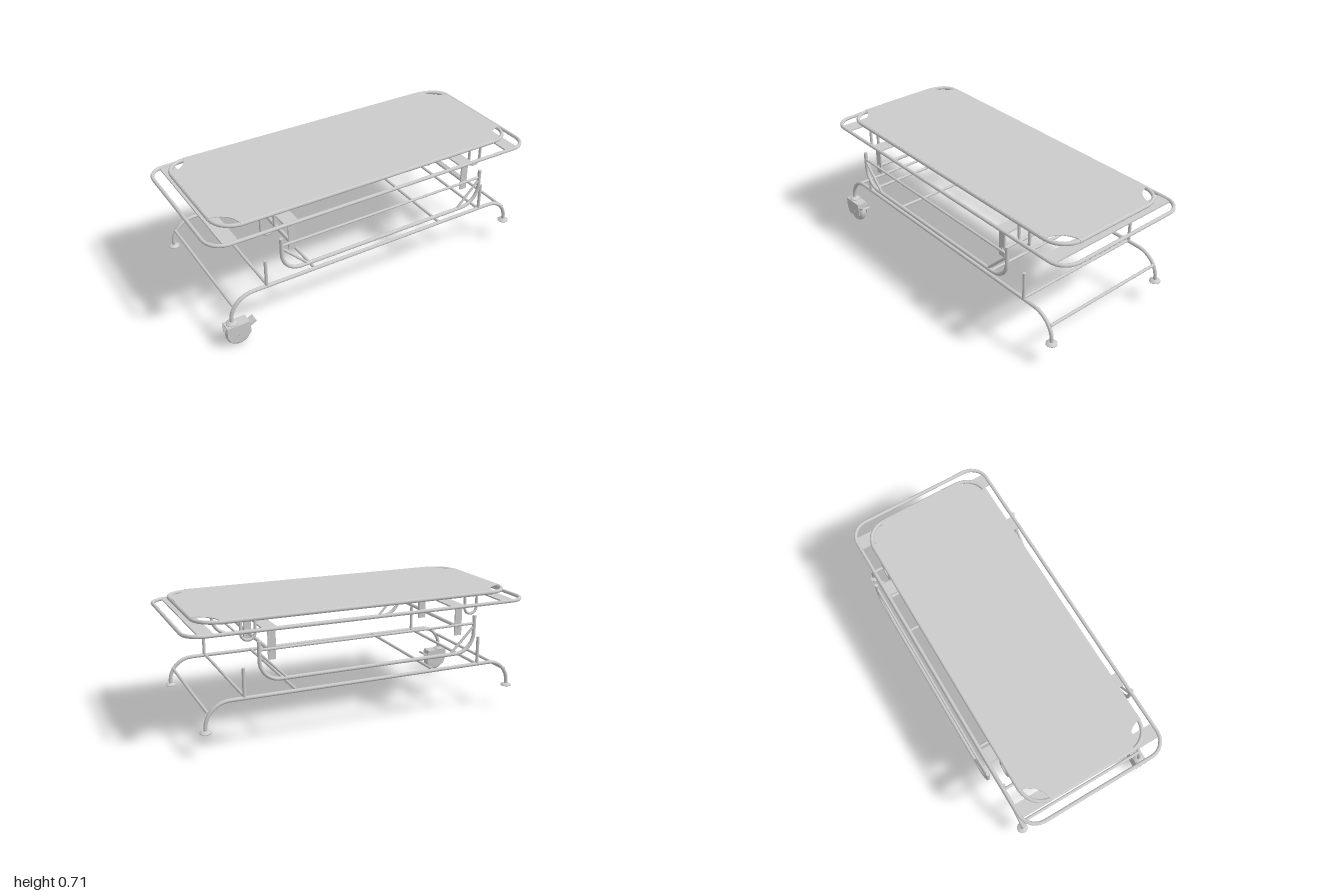
import * as THREE from 'three';

const grey = new THREE.MeshStandardMaterial({ color: 0xcccccc, side: THREE.DoubleSide });
const V = (x, y, z) => new THREE.Vector3(x, y, z);

function add(parent, name, geometry, x = 0, y = 0, z = 0) {
  const mesh = new THREE.Mesh(geometry, grey);
  mesh.name = name;
  mesh.position.set(x, y, z);
  parent.add(mesh);
  return mesh;
}

function box(parent, name, w, h, d, x, y, z) {
  return add(parent, name, new THREE.BoxGeometry(w, h, d), x, y, z);
}

// Straight round bar between two points
function bar(parent, name, a, b, r) {
  const mesh = add(parent, name, new THREE.CylinderGeometry(r, r, a.distanceTo(b), 14));
  mesh.position.copy(a).add(b).multiplyScalar(0.5);
  mesh.quaternion.setFromUnitVectors(V(0, 1, 0), b.clone().sub(a).normalize());
  return mesh;
}

// Bent tube: straight runs joined by near-circular bends of the given radius
function bentTube(parent, name, pts, bend, r, closed = false, segments = 160) {
  const path = new THREE.CurvePath();
  const n = pts.length;
  const toward = (a, b, d) => a.clone().add(b.clone().sub(a).setLength(d));
  let first = null, last = null;
  for (let i = 0; i < n; i++) {
    const p = pts[i];
    if (!closed && (i === 0 || i === n - 1)) {
      if (last) path.add(new THREE.LineCurve3(last, p));
      last = p;
      continue;
    }
    const prev = pts[(i + n - 1) % n], next = pts[(i + 1) % n];
    const a = toward(p, prev, bend), b = toward(p, next, bend);
    if (last && last.distanceTo(a) > 1e-4) path.add(new THREE.LineCurve3(last, a));
    path.add(new THREE.CubicBezierCurve3(a, toward(p, prev, bend * 0.448), toward(p, next, bend * 0.448), b));
    first = first || a;
    last = b;
  }
  if (closed) path.add(new THREE.LineCurve3(last, first));
  add(parent, name, new THREE.TubeGeometry(path, segments, r, 12, closed));
  if (!closed) {
    // End caps
    for (const t of [0, 1]) {
      const cap = add(parent, name + 'Cap', new THREE.CircleGeometry(r, 12));
      cap.position.copy(path.getPoint(t));
      cap.quaternion.setFromUnitVectors(V(0, 0, 1), path.getTangent(t).multiplyScalar(t ? 1 : -1));
    }
  }
}

const rectangle = (x, y, z) => [V(-x, y, -z), V(x, y, -z), V(x, y, z), V(-x, y, z)];

// Fabric bed on its own tube frame, with scooped corners
function buildBed() {
  const g = new THREE.Group();
  g.name = 'bed';
  bentTube(g, 'bedFrame', rectangle(0.914, 0.701, 0.361), 0.12, 0.0105, true, 240);
  const X = 0.916, Z = 0.363, cx = 0.8, cz = 0.25;
  const s = new THREE.Shape();
  s.moveTo(-cx, -Z);
  s.lineTo(cx, -Z);
  s.bezierCurveTo(cx + 0.01, -0.3, cx + 0.05, -cz - 0.01, X, -cz);
  s.lineTo(X, cz);
  s.bezierCurveTo(cx + 0.05, cz + 0.01, cx + 0.01, 0.3, cx, Z);
  s.lineTo(-cx, Z);
  s.bezierCurveTo(-cx - 0.01, 0.3, -cx - 0.05, cz + 0.01, -X, cz);
  s.lineTo(-X, -cz);
  s.bezierCurveTo(-cx - 0.05, -cz - 0.01, -cx - 0.01, -0.3, -cx, -Z);
  const sheet = new THREE.ExtrudeGeometry(s, { depth: 0.004, bevelEnabled: false, curveSegments: 12 });
  sheet.rotateX(-Math.PI / 2);
  add(g, 'fabricSheet', sheet, 0, 0.709, 0);
  for (const k of [-1, 1]) {
    bar(g, 'endSleeve', V(k * 0.914, 0.701, -cz), V(k * 0.914, 0.701, cz), 0.012);
    bar(g, 'sideSleeve', V(-cx, 0.701, k * 0.361), V(cx, 0.701, k * 0.361), 0.012);
    // Hanging loops under the bed frame
    for (const m of [-1, 1]) {
      const a = m * 0.617, b = m * 0.693, z = k * 0.363;
      bentTube(g, 'hangingLoop', [V(a, 0.7, z), V(a, 0.593, z), V(b, 0.593, z), V(b, 0.7, z)], 0.037, 0.008, false, 48);
    }
  }
  return g;
}

// Outer frame with flat cross plates and hanging brackets
function buildUpperFrame() {
  const g = new THREE.Group();
  g.name = 'upperFrame';
  bentTube(g, 'outerFrame', rectangle(0.99, 0.655, 0.425), 0.1, 0.01, true, 240);
  for (const k of [-1, 1]) {
    box(g, 'endPlate', 0.08, 0.008, 0.836, k * 0.88, 0.652, 0);
    box(g, 'innerPlate', 0.08, 0.008, 0.836, k * 0.55, 0.652, 0);
    for (const z of [-0.411, 0, 0.411]) {
      box(g, 'bracket', 0.042, 0.163, z ? 0.008 : 0.016, k * 0.547, 0.572, z);
    }
    bar(g, 'bracketRod', V(k * 0.553, 0.535, -0.42), V(k * 0.553, 0.535, 0.42), 0.01);
  }
  return g;
}

// Lowered side guard: U-shaped tube with a rail and corner braces
function buildSideGuard(z) {
  const g = new THREE.Group();
  g.name = 'sideGuard';
  const x = 0.627, y = 0.396;
  bentTube(g, 'guardTube', [V(-x, 0.605, z), V(-x, y, z), V(x, y, z), V(x, 0.605, z)], 0.11, 0.0105, false, 200);
  bar(g, 'guardRail', V(-x, 0.56, z), V(x, 0.56, z), 0.007);
  for (const k of [-1, 1]) {
    bar(g, 'guardBrace', V(k * x, 0.545, z), V(k * 0.48, y, z), 0.007);
  }
  return g;
}

// Base rails, legs, posts, cross rods and feet
function buildBase() {
  const g = new THREE.Group();
  g.name = 'base';
  const foot = [[0, 0.139], [0.031, 0.139], [0.031, 0.143], [0.017, 0.151], [0.01, 0.152]]
    .map(([r, y]) => new THREE.Vector2(r, y));
  for (const k of [-1, 1]) {
    const z = k * 0.394;
    bentTube(g, 'baseRail', [V(-0.905, 0.145, z), V(-0.905, 0.296, z), V(0.905, 0.296, z), V(0.905, 0.145, z)], 0.135, 0.0105, false, 240);
    for (const m of [-1, 1]) {
      bar(g, 'post', V(m * 0.695, 0.296, z), V(m * 0.695, 0.458, z), 0.009);
      add(g, 'foot', new THREE.LatheGeometry(foot, 24), m * 0.905, 0, z);
    }
    for (const [x, y] of [[0.41, 0.299], [0.69, 0.299], [0.888, 0.241]]) {
      bar(g, 'crossRod', V(k * x, y, -0.39), V(k * x, y, 0.39), 0.0085);
    }
  }
  return g;
}

// Swivel caster with forked housing and brake lever
function buildCaster() {
  const g = new THREE.Group();
  g.name = 'caster';
  g.position.set(-0.88, 0, 0.397);
  const side = new THREE.Shape([[-0.066, 0.138], [0.06, 0.138], [0.066, 0.12], [0.066, 0.065],
    [0.03, 0.05], [-0.03, 0.035], [-0.05, 0.04], [-0.066, 0.08]].map(([x, y]) => new THREE.Vector2(x, y)));
  const plate = new THREE.ExtrudeGeometry(side, { depth: 0.006, bevelEnabled: false });
  add(g, 'forkSide', plate, 0, 0, 0.026);
  add(g, 'forkSide', plate, 0, 0, -0.032);
  box(g, 'forkTop', 0.122, 0.006, 0.058, -0.004, 0.135, 0);
  box(g, 'forkBack', 0.006, 0.028, 0.058, 0.06, 0.122, 0);
  const lever = box(g, 'brakeLever', 0.06, 0.012, 0.05, 0.075, 0.11, 0);
  lever.rotation.z = 0.45;
  const tread = [[0.01, -0.022], [0.055, -0.022], [0.064, -0.018], [0.07, -0.009], [0.07, 0.009], [0.064, 0.018],
    [0.055, 0.022], [0.01, 0.022]].map(([r, y]) => new THREE.Vector2(r, y));
  add(g, 'wheel', new THREE.LatheGeometry(tread, 32).rotateX(Math.PI / 2), 0.005, 0.071, 0);
  bar(g, 'axle', V(0.005, 0.071, -0.033), V(0.005, 0.071, 0.033), 0.01);
  return g;
}

export function createModel() {
  const model = new THREE.Group();
  model.name = 'stretcher';
  model.add(buildBed(), buildUpperFrame(), buildSideGuard(0.45), buildSideGuard(-0.45), buildBase(), buildCaster());
  return model;
}
